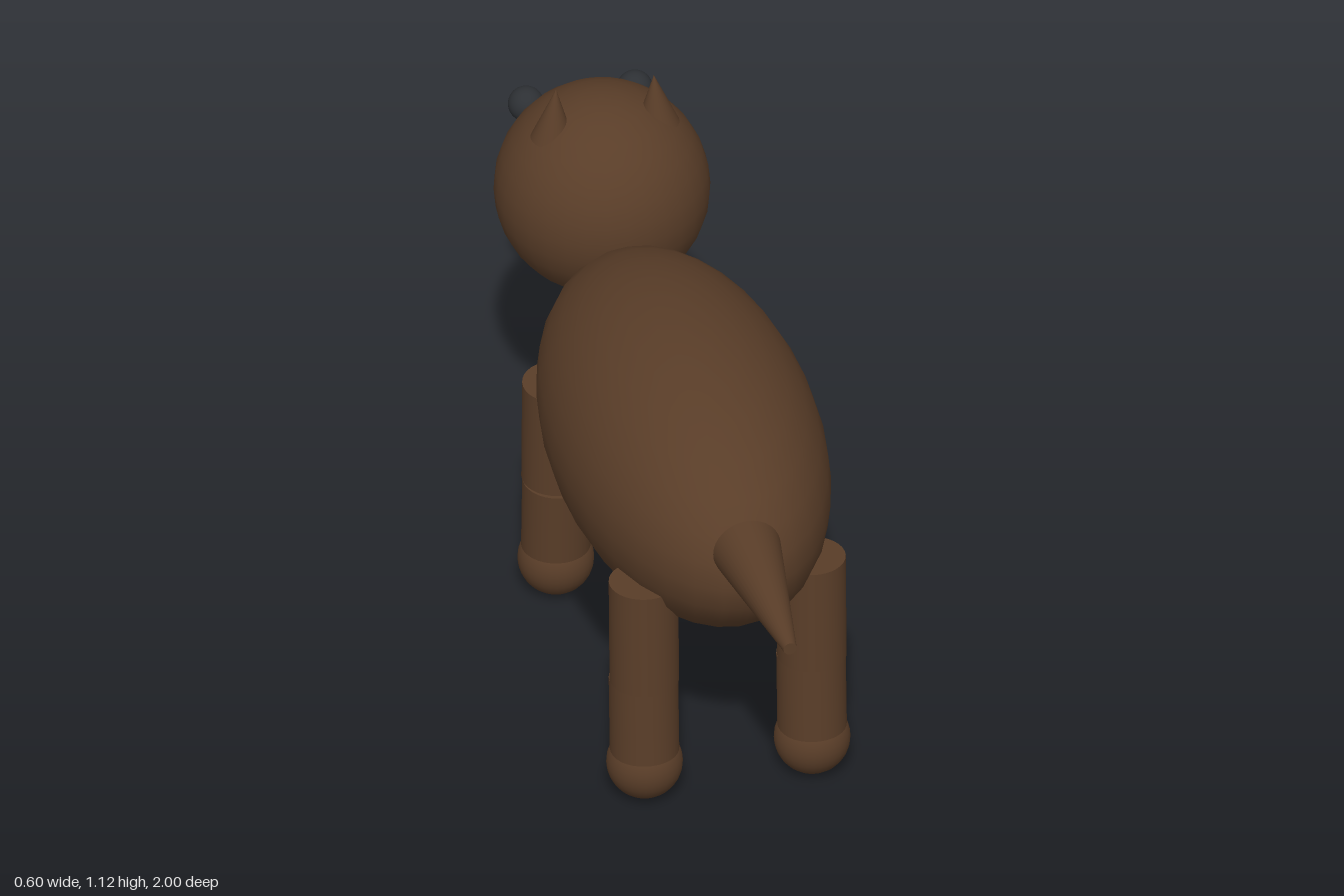
import * as THREE from 'three';

export function createModel() {
  const model = new THREE.Group();
  const fur = new THREE.MeshStandardMaterial({ color: 0x593d28 });
  fur.name = 'brown fur';
  const dark = new THREE.MeshStandardMaterial({ color: 0x2d3034 });
  dark.name = 'dark eye';

  const add = (name, geometry, material, x, y, z, parent = model) => {
    const mesh = new THREE.Mesh(geometry, material);
    mesh.name = name;
    mesh.position.set(x, y, z);
    parent.add(mesh);
    return mesh;
  };
  const ball = (r) => new THREE.SphereGeometry(r, 32, 16);

  // Cylinder running between two heights, leaning slightly along z
  const limb = (name, parent, x, yTop, zTop, yBottom, zBottom) => {
    const length = Math.hypot(yTop - yBottom, zTop - zBottom);
    const mesh = add(name, new THREE.CylinderGeometry(0.077, 0.077, length, 32), fur,
      x, (yTop + yBottom) / 2, (zTop + zBottom) / 2, parent);
    mesh.rotation.x = Math.atan2(zTop - zBottom, yTop - yBottom);
  };

  // Long oval body; the animal looks toward -z
  add('body', ball(1), fur, 0, 0.655, 0.04).scale.set(0.3, 0.3, 0.607);

  // Head and snout
  add('head', ball(0.24), fur, 0, 0.826, -0.697);
  add('snout', new THREE.BoxGeometry(0.16, 0.124, 0.16), fur, 0, 0.763, -0.92);

  // Tapered tail
  add('tail', new THREE.CylinderGeometry(0.015, 0.077, 0.39, 32), fur, 0, 0.742, 0.805)
    .rotation.x = Math.PI / 2;

  for (const [side, s] of [['left', 1], ['right', -1]]) {
    add(side + 'Eye', ball(0.04), dark, s * 0.124, 0.935, -0.892);
    const ear = add(side + 'Ear', new THREE.ConeGeometry(0.048, 0.13, 32), fur,
      s * 0.116, 1.06, -0.67);
    ear.rotation.z = s * 0.07;

    // Two-part legs with round paws; d is the way the leg leans
    for (const [end, z, d] of [['Hind', 0.436, 1], ['Front', -0.352, -1]]) {
      const leg = new THREE.Group();
      leg.name = side + end + 'Leg';
      model.add(leg);
      const x = s * 0.191;
      limb('upperLeg', leg, x, 0.568, z - d * 0.004, 0.309, z + d * 0.004);
      limb('lowerLeg', leg, x, 0.309, z - d * 0.004, 0.12, z + d * 0.006);
      add('paw', ball(0.085), fur, x, 0.087, z + d * 0.006, leg);
    }
  }
  return model;
}
